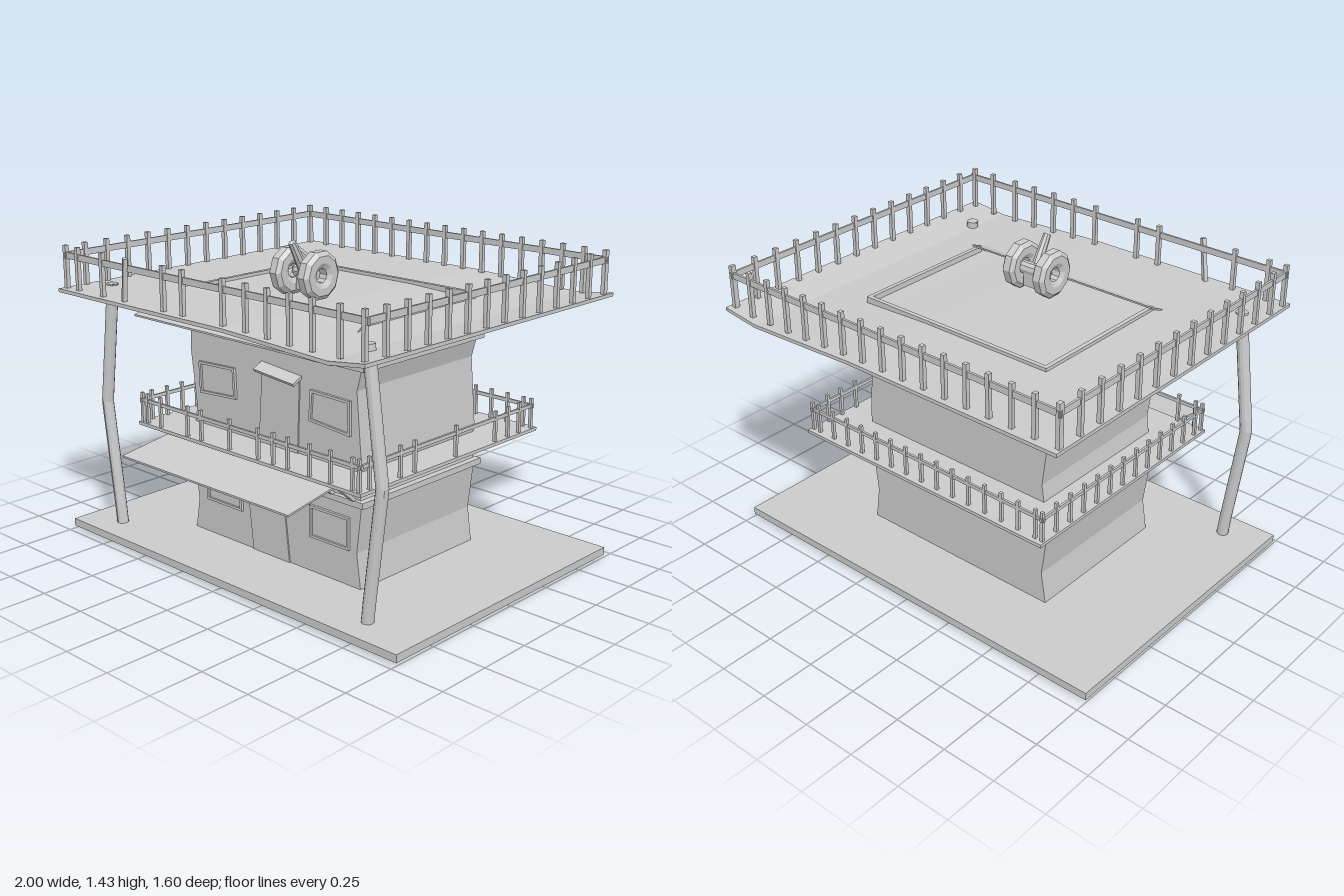
import * as THREE from 'three';

const grey = new THREE.MeshStandardMaterial({ color: 0xcccccc, flatShading: true, side: THREE.DoubleSide });

function add(parent, name, geometry, x = 0, y = 0, z = 0) {
  const mesh = new THREE.Mesh(geometry, grey);
  mesh.name = name;
  mesh.position.set(x, y, z);
  parent.add(mesh);
  return mesh;
}

// Box given by its limits on each axis
function block(parent, name, x0, x1, y0, y1, z0, z1) {
  return add(parent, name, new THREE.BoxGeometry(x1 - x0, y1 - y0, z1 - z0),
    (x0 + x1) / 2, (y0 + y1) / 2, (z0 + z1) / 2);
}

// Outline in the front plane, pushed from z0 to z1, with optional hole
function slab(parent, name, points, z0, z1, hole) {
  const shape = new THREE.Shape(points.map(p => new THREE.Vector2(...p)));
  if (hole) shape.holes.push(new THREE.Path(hole.map(p => new THREE.Vector2(...p))));
  const geometry = new THREE.ExtrudeGeometry(shape, { depth: z1 - z0, bevelEnabled: false });
  return add(parent, name, geometry, 0, 0, z0);
}

// Square bar between two points
function beam(parent, name, a, b, w, h) {
  const p = new THREE.Vector3(...a), q = new THREE.Vector3(...b);
  const mesh = add(parent, name, new THREE.BoxGeometry(w, h, p.distanceTo(q)));
  mesh.position.copy(p).add(q).multiplyScalar(0.5);
  mesh.lookAt(q);
  return mesh;
}

// Thin sloping sheet between an upper and a lower edge
function awning(parent, name, top, bottom, t = 0.008) {
  const pos = [];
  for (const dy of [0, -t]) for (const [x0, x1, y, z] of [top, bottom]) pos.push(x0, y + dy, z, x1, y + dy, z);
  const g = new THREE.BufferGeometry();
  g.setAttribute('position', new THREE.Float32BufferAttribute(pos, 3));
  g.setIndex([0, 2, 3, 0, 3, 1, 4, 7, 6, 4, 5, 7, 2, 6, 7, 2, 7, 3, 0, 1, 5, 0, 5, 4, 0, 4, 6, 0, 6, 2, 1, 3, 7, 1, 7, 5]);
  const flat = g.toNonIndexed();
  flat.computeVertexNormals();
  return add(parent, name, flat);
}

const spread = (a, b, n) => Array.from({ length: n }, (_, i) => a + (b - a) * i / (n - 1));

// Four rails with upright pickets; lists hold the picket positions per side
function railing(parent, name, o) {
  const g = new THREE.Group();
  g.name = name;
  parent.add(g);
  const { x0, x1, z0, z1, base, top, rail, railH, w, over } = o;
  const picket = (x, z) => block(g, 'picket', x - w / 2, x + w / 2, base, top, z - w / 2, z + w / 2);
  for (const z of [z0, z1]) block(g, 'rail', x0 - over, x1 + over, rail, rail + railH, z - 0.005, z + 0.005);
  for (const x of [x0, x1]) block(g, 'rail', x - 0.005, x + 0.005, rail, rail + railH, z0 - over, z1 + over);
  o.front.forEach(x => picket(x, z1));
  o.back.forEach(x => picket(x, z0));
  o.left.forEach(z => picket(x1, z));
  o.right.forEach(z => picket(x0, z));
  return g;
}

export function createModel() {
  const model = new THREE.Group();
  model.name = 'balconyHouse';

  // Ground and house body with crooked side walls
  block(model, 'ground', -1, 1, 0.01, 0.045, -0.695, 0.72);
  slab(model, 'walls', [
    [-0.515, 0.04], [-0.49, 0.19], [-0.52, 0.41], [-0.505, 0.52], [-0.487, 0.64], [-0.52, 0.9], [-0.515, 1.0], [-0.5, 1.165],
    [0.5, 1.165], [0.515, 1.0], [0.487, 0.9], [0.513, 0.6], [0.5, 0.5], [0.515, 0.41], [0.49, 0.2], [0.513, 0.04],
  ], -0.355, 0.385);

  // Ledges and the slanted braces that rest on them
  for (const [y, rise] of [[0.412, 0.1], [0.99, 0.1]]) {
    block(model, 'ledge', -0.545, 0.54, y, y + 0.027, -0.373, 0.405);
    for (const x of [-0.475, -0.36, -0.2, -0.085, 0.085, 0.21, 0.36, 0.48])
      beam(model, 'brace', [x, y + 0.025, 0.395], [x, y + 0.025 + rise, 0.51], 0.025, 0.015);
  }

  // Low parapet around the roof
  for (const s of [-1, 1]) block(model, 'parapet', s * 0.49 - 0.01, s * 0.49 + 0.01, 1.15, 1.19, -0.355, 0.37);
  block(model, 'parapet', -0.5, 0.5, 1.15, 1.19, -0.355, -0.335);

  // Middle and upper decks; the upper one sags toward its left side
  block(model, 'middleDeck', -0.68, 0.675, 0.545, 0.56, -0.597, 0.567);
  const sag = [[-0.91, 1.175], [0.15, 1.175], [0.45, 1.163], [0.72, 1.152], [0.905, 1.175]];
  slab(model, 'upperDeck', [...sag.map(([x, y]) => [x, y - 0.016]), ...sag.slice().reverse()], -0.8, 0.8);

  // Awnings under the front of each deck
  awning(model, 'lowerAwning', [-0.5, 0.5, 0.552, 0.45], [-0.51, 0.51, 0.495, 0.8]);
  awning(model, 'upperAwning', [-0.51, 0.51, 1.2, 0.34], [-0.6, 0.585, 1.08, 0.63]);

  // Railings
  railing(model, 'middleRailing', {
    x0: -0.665, x1: 0.66, z0: -0.57, z1: 0.553, base: 0.55, top: 0.697, rail: 0.655, railH: 0.016, w: 0.014, over: 0.012,
    front: [-0.665, -0.63, -0.54, -0.36, -0.27, -0.09, 0.085, 0.175, 0.26, 0.385, 0.5, 0.62, 0.655],
    back: spread(-0.63, 0.62, 15),
    left: [0.5, 0.315, 0.225, -0.04, -0.31, -0.4, -0.48, -0.57],
    right: spread(-0.57, 0.5, 13),
  });
  const upper = railing(model, 'upperRailing', {
    x0: -0.893, x1: 0.88, z0: -0.765, z1: 0.763, base: 1.16, top: 1.365, rail: 1.307, railH: 0.028, w: 0.019, over: 0.012,
    front: [-0.893, -0.81, -0.64, -0.24, -0.12, 0.12, 0.25, 0.37, 0.49, 0.61, 0.75, 0.87],
    back: spread(-0.893, 0.88, 17),
    left: spread(-0.76, 0.66, 13),
    right: spread(-0.76, 0.66, 13),
  });
  beam(upper, 'leaningPicket', [-0.5, 1.17, 0.76], [-0.465, 1.365, 0.775], 0.019, 0.019);

  // Bent posts holding up the front of the upper deck
  for (const s of [-1, 1]) {
    const x = s < 0 ? -0.802 : 0.73;
    const path = new THREE.CurvePath();
    const pts = [[0, 0], [0.012, 0.12], [0.075, 0.62], [0.015, 1.06], [0, 1.18]].map(([d, y]) => new THREE.Vector3(x + s * d, y, 0.587));
    for (let i = 0; i < 4; i++) path.add(new THREE.LineCurve3(pts[i], pts[i + 1]));
    add(model, 'post', new THREE.TubeGeometry(path, 36, 0.027, 12));
    for (const p of [pts[0], pts[4]])
      add(model, 'postCap', new THREE.CylinderGeometry(0.027, 0.027, 0.004, 12), p.x, p.y + (p.y ? 0 : 0.002), p.z);
  }

  // Crooked doors with sloping hoods: corners run bottom left, bottom right, top right, top left
  const doors = [
    [[-0.125, 0.045], [0.1, 0.045], [0.063, 0.365], [-0.16, 0.34]],
    [[-0.08, 0.56], [0.155, 0.56], [0.168, 0.88], [-0.055, 0.9]],
  ];
  for (const c of doors) {
    slab(model, 'door', c, 0.38, 0.391);
    const [r, l] = [c[2], c[3]];
    const mid = [(r[0] + l[0]) / 2, (r[1] + l[1]) / 2];
    const hood = add(model, 'doorHood', new THREE.BoxGeometry(0.238, 0.014, 0.055), mid[0], mid[1] + 0.004, 0.408);
    hood.rotation.set(0.5, 0, Math.atan2(r[1] - l[1], r[0] - l[0]), 'ZXY');
  }

  // Windows: raised frame around a pane
  const windows = [
    [[-0.422, 0.205], [-0.193, 0.205], [-0.195, 0.35], [-0.42, 0.35]],
    [[0.225, 0.205], [0.453, 0.205], [0.452, 0.35], [0.227, 0.35]],
    [[-0.452, 0.705], [-0.22, 0.72], [-0.227, 0.86], [-0.457, 0.85]],
    [[0.225, 0.722], [0.457, 0.703], [0.457, 0.853], [0.235, 0.858]],
  ];
  for (const c of windows) {
    const cx = c.reduce((t, p) => t + p[0], 0) / 4, cy = c.reduce((t, p) => t + p[1], 0) / 4;
    const inner = c.map(([x, y]) => [cx + (x - cx) * 0.89, cy + (y - cy) * 0.84]);
    slab(model, 'windowFrame', c, 0.38, 0.397, inner);
    slab(model, 'windowPane', inner, 0.38, 0.388);
  }

  // Small wheeled cannon on the roof
  const cannon = new THREE.Group();
  cannon.name = 'cannon';
  cannon.position.set(0, 1.284, 0.188);
  model.add(cannon);
  const rim = [[0.032, -0.02], [0.055, -0.033], [0.088, -0.033], [0.107, -0.018], [0.107, 0.018], [0.088, 0.033], [0.055, 0.033], [0.032, 0.02], [0.032, -0.02]]
    .map(p => new THREE.Vector2(...p));
  for (const s of [-1, 1]) add(cannon, 'wheel', new THREE.LatheGeometry(rim, 10), s * 0.083).rotation.z = Math.PI / 2;
  add(cannon, 'axle', new THREE.CylinderGeometry(0.03, 0.03, 0.12, 10), 0, 0, -0.02).rotation.z = Math.PI / 2;
  block(cannon, 'carriage', -0.035, 0.035, -0.075, -0.01, -0.045, 0.015);
  const barrel = add(cannon, 'barrel', new THREE.CylinderGeometry(0.017, 0.026, 0.19, 8), 0, 0.055, 0.026);
  barrel.rotation.x = 0.5;

  return model;
}
